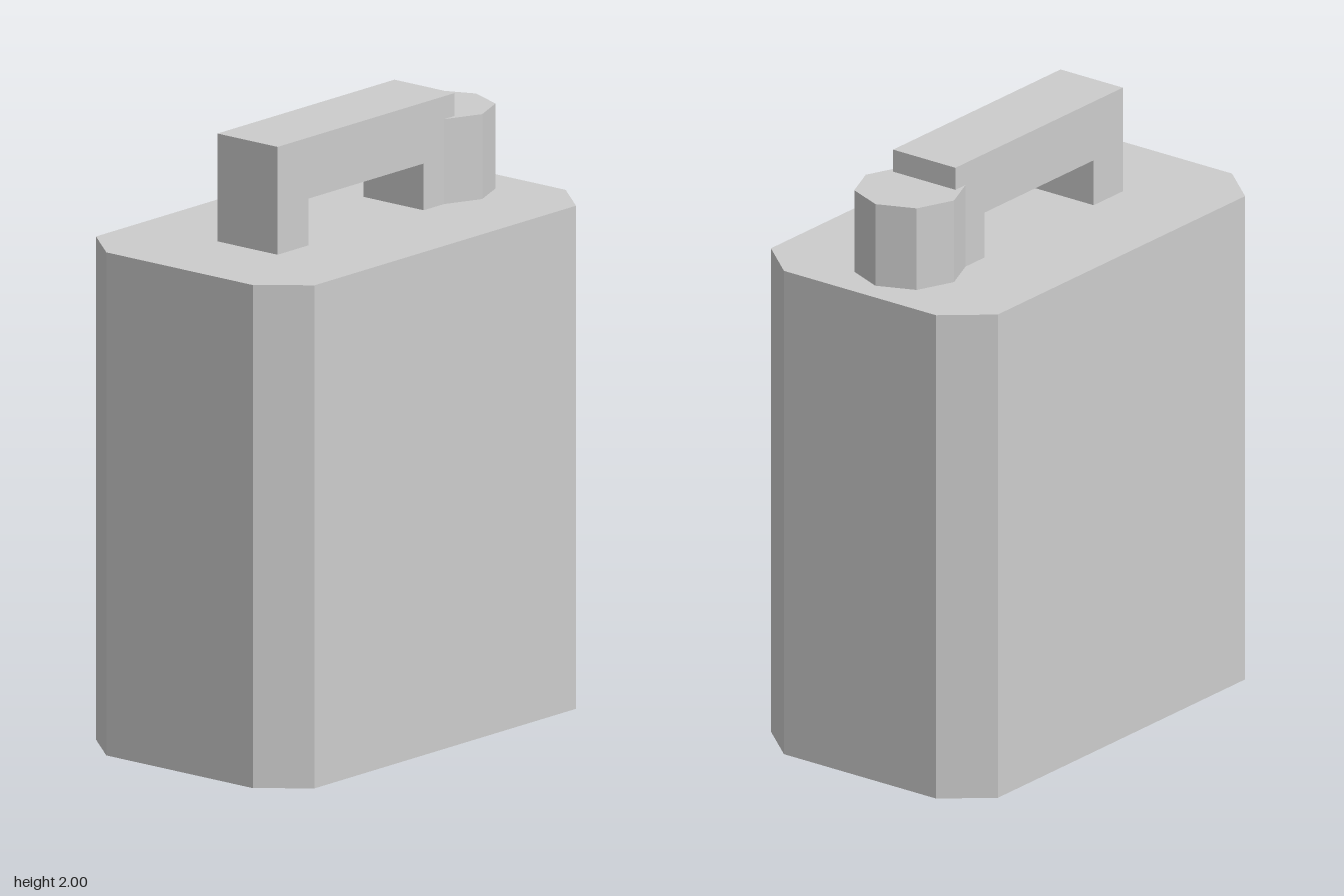
import * as THREE from 'three';

// Flat outline extruded by depth along +z
function extrude(points, depth) {
  const shape = new THREE.Shape(points.map(([x, y]) => new THREE.Vector2(x, y)));
  return new THREE.ExtrudeGeometry(shape, { depth, bevelEnabled: false });
}

export function createModel() {
  const group = new THREE.Group();
  const metal = new THREE.MeshStandardMaterial({ color: 0xcccccc, flatShading: true });
  metal.name = 'light grey';

  const add = (name, geometry) => {
    const mesh = new THREE.Mesh(geometry, metal);
    mesh.name = name;
    group.add(mesh);
    return mesh;
  };

  // Canister body: a rectangle with chamfered upright corners
  const w = 0.76, d = 0.455, cx = 0.635, cz = 0.305, top = 1.647;
  const body = extrude([
    [cx, -d], [w, -cz], [w, cz], [cx, d],
    [-cx, d], [-w, cz], [-w, -cz], [-cx, -d],
  ], top);
  body.rotateX(-Math.PI / 2);
  add('body', body);

  // Carrying handle: a bridge on two legs
  const handle = extrude([
    [-0.43, top], [-0.28, top], [-0.28, 1.8], [0.28, 1.8],
    [0.28, top], [0.43, top], [0.43, 2], [-0.43, 2],
  ], 0.25);
  handle.translate(0, 0, -0.125);
  add('handle', handle);

  // Eight-sided filler cap at the end of the handle
  const capTop = 1.925;
  const cap = add('fillerCap', new THREE.CylinderGeometry(0.177, 0.177, capTop - top, 8));
  cap.position.set(0.504, (capTop + top) / 2, 0);

  return group;
}
